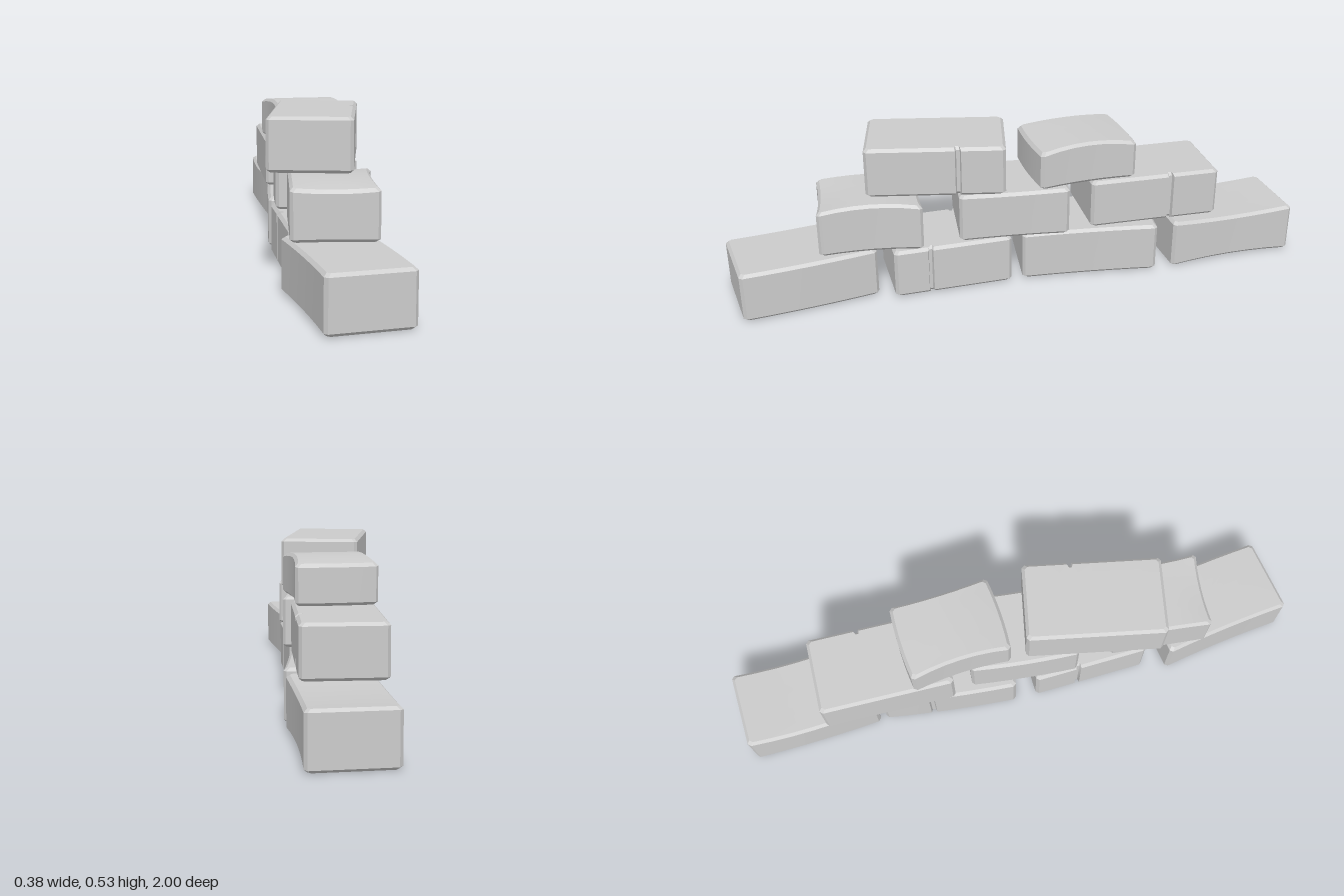
import * as THREE from 'three';
import { toCreasedNormals } from 'three/addons/utils/BufferGeometryUtils.js';

const HX = 0.134; // half width shared by all bricks
const C = 0.01;   // chamfer
const STEPS = [1, 0.67, 0.33, 0, -0.33, -0.67, -1];

// One long side from front (+1) to back (-1), with an optional narrow chipped groove
function longSide(groove) {
  const pts = STEPS.map((t) => [t, 0]);
  if (groove !== undefined) {
    const w = 0.045;
    const kept = pts.filter(([t]) => Math.abs(t - groove) > w);
    kept.push([groove + w, 0], [groove + w * 0.6, 0.012], [groove - w * 0.6, 0.012], [groove - w, 0]);
    return kept.sort((a, b) => b[0] - a[0]);
  }
  return pts;
}

// Plan outline: left side, back end, right side, front end; the corners are cut
function outline(hz, left, right) {
  const pts = [];
  longSide(left).forEach(([t, d]) => pts.push([HX - d, t * (hz - C)]));
  STEPS.forEach((t) => pts.push([t * (HX - C), -hz]));
  longSide(right).reverse().forEach(([t, d]) => pts.push([-HX + d, t * (hz - C)]));
  [...STEPS].reverse().forEach((t) => pts.push([t * (HX - C), hz]));
  return pts;
}

// Chamfered brick made of stacked rings, then worn by a few smooth rules
function brickGeometry({ len, h, left, right, crown = 0, sag = 0, pinch = 0, bulge = 0, bend = 0, dip = 0 }) {
  const hz = len / 2;
  const plan = outline(hz, left, right);
  const n = plan.length;
  const cap = [0, 0.25, 0.5, 0.75, 1];
  const rings = [
    ...cap.map((s) => [s, 0, C]),
    [1, C, 0], [1, h - C, 0],
    ...[...cap].reverse().map((s) => [s, h, C]),
  ];
  const pos = [];
  const index = [];
  rings.forEach(([s, y, inset]) => {
    for (const [px, pz] of plan) {
      const x = px * s * (HX - inset) / HX;
      const z = pz * s * (hz - inset) / hz;
      const u = x / HX;
      const v = z / hz;
      const mid = 1 - v * v;
      const top = y > h / 2 ? 1 : 0;
      pos.push(
        x * (1 - pinch * mid) + bend * (mid - 0.5),
        y + top * (crown * mid - dip * (1 - u * u) * v * v) + (1 - top) * sag * mid,
        z + bulge * (1 - u * u) * v,
      );
    }
  });
  for (let j = 0; j < rings.length - 1; j++) {
    for (let i = 0; i < n; i++) {
      const k = (i + 1) % n;
      const a = j * n + i, b = j * n + k, c = b + n, d = a + n;
      if (j > 0) index.push(a, b, c);
      if (j === 0) index.push(a, c, d);
      else if (j < rings.length - 2) index.push(a, c, d);
    }
  }
  const geo = new THREE.BufferGeometry();
  geo.setAttribute('position', new THREE.Float32BufferAttribute(pos, 3));
  geo.setIndex(index);
  return toCreasedNormals(geo, 0.45);
}

export function createModel() {
  const group = new THREE.Group();
  const material = new THREE.MeshStandardMaterial({ color: 0xcccccc });

  // turn is in degrees; left and right are groove positions along the brick
  const bricks = [
    // bottom course
    { name: 'bottomBrickFront', x: 0.018, y: 0.004, z: 0.749, turn: 9.5, len: 0.462, h: 0.175, bend: 0.006 },
    { name: 'bottomBrickMiddleFront', x: 0, y: 0.004, z: 0.25, turn: 3, len: 0.41, h: 0.174, left: 0.41, right: -0.25 },
    { name: 'bottomBrickMiddleBack', x: 0.005, y: 0.004, z: -0.25, turn: -5, len: 0.478, h: 0.175, right: -0.28, bend: -0.006 },
    { name: 'bottomBrickBack', x: 0.004, y: 0.001, z: -0.76, turn: 4, len: 0.462, h: 0.177, crown: -0.012, sag: 0.008, bend: -0.008 },
    // middle course
    { name: 'middleBrickFront', x: 0.003, y: 0.184, z: 0.51, turn: -4, len: 0.35, h: 0.162, crown: 0.01, dip: 0.008, pinch: 0.06, bulge: -0.008, bend: -0.008 },
    { name: 'middleBrickCentre', x: 0.005, y: 0.184, z: 0.022, turn: -4, len: 0.377, h: 0.172, crown: -0.005, bend: -0.005 },
    { name: 'middleBrickBack', x: -0.007, y: 0.184, z: -0.47, turn: 0.5, len: 0.46, h: 0.172, left: -0.26 },
    // top course
    { name: 'topBrickFront', x: -0.021, y: 0.358, z: 0.271, turn: -10, len: 0.467, h: 0.173, left: -0.34 },
    { name: 'topBrickBack', x: 0.003, y: 0.358, z: -0.215, turn: 5, len: 0.34, h: 0.132, crown: 0.016, pinch: 0.1, bulge: 0.008 },
  ];

  for (const b of bricks) {
    const mesh = new THREE.Mesh(brickGeometry(b), material);
    mesh.name = b.name;
    mesh.position.set(b.x, b.y, b.z);
    mesh.rotation.y = THREE.MathUtils.degToRad(b.turn);
    group.add(mesh);
  }
  return group;
}
